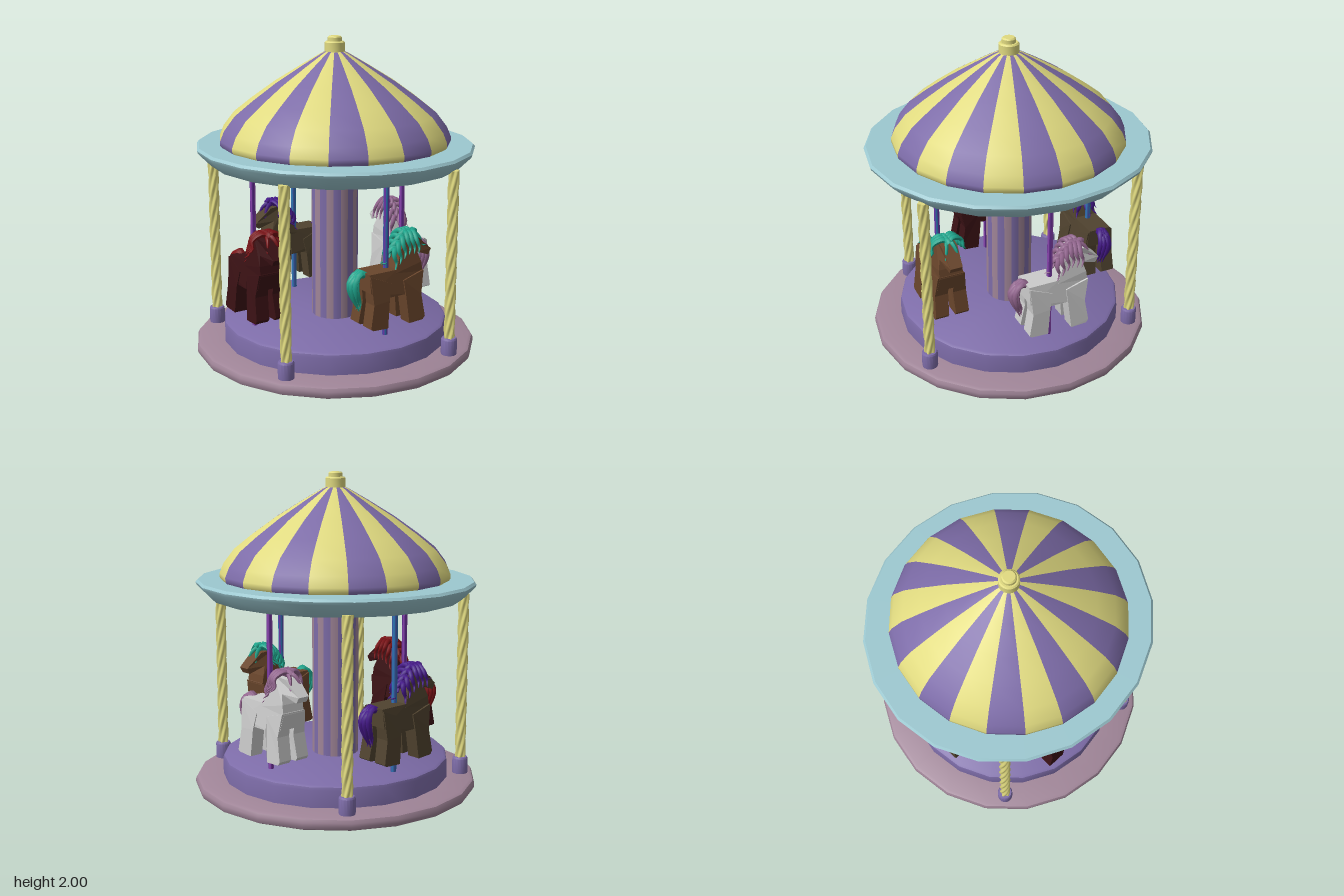
import * as THREE from 'three';
import { mergeGeometries, toCreasedNormals } from 'three/addons/utils/BufferGeometryUtils.js';

const SIDES = 20;
const PURPLE = 0x7d6ca8, YELLOW = 0xe0da80, TEAL = 0x9cc8d0, MAUVE = 0xa08598;

const mat = (color, flatShading = false) => new THREE.MeshStandardMaterial({ color, flatShading });
const points = (list) => list.map(([x, y]) => new THREE.Vector2(x, y));

function add(parent, name, geometry, material) {
  const mesh = new THREE.Mesh(geometry, material);
  mesh.name = name;
  parent.add(mesh);
  return mesh;
}

// Solid of revolution with sharp rims
const turned = (profile, sides = SIDES) =>
  toCreasedNormals(new THREE.LatheGeometry(points(profile), sides), 0.6);

// Solid of revolution whose segments alternate between two colours
function striped(parent, name, profile, sides, colors) {
  const step = (Math.PI * 2) / sides;
  colors.forEach((color, c) => {
    const wedges = [];
    for (let k = c; k < sides; k += 2) {
      wedges.push(new THREE.LatheGeometry(points(profile), 1, k * step, step));
    }
    add(parent, `${name}Stripes${c + 1}`, mergeGeometries(wedges), mat(color));
  });
}

// Flat side profile given thickness, with a width rule per point
function slab(profile, depth, rule) {
  const g = new THREE.ExtrudeGeometry(new THREE.Shape(points(profile)), { depth, bevelEnabled: false });
  g.translate(0, 0, -depth / 2);
  const p = g.attributes.position;
  for (let i = 0; i < p.count; i++) p.setZ(i, rule(p.getX(i), p.getY(i), p.getZ(i)));
  g.computeVertexNormals();
  return g;
}

// Lock of hair: a tube that thins towards its end
function lock(path, radius) {
  const curve = new THREE.CatmullRomCurve3(path.map((v) => new THREE.Vector3(...v)));
  const rows = 12, around = 6;
  const g = new THREE.TubeGeometry(curve, rows, radius, around);
  const p = g.attributes.position, v = new THREE.Vector3();
  for (let i = 0; i < p.count; i++) {
    const t = Math.floor(i / (around + 1)) / rows;
    const centre = curve.getPointAt(t);
    v.fromBufferAttribute(p, i).sub(centre).multiplyScalar(1 - 0.9 * t * t).add(centre);
    p.setXYZ(i, v.x, v.y, v.z);
  }
  g.computeVertexNormals();
  return g;
}

// Horse facing +x with its pole at the origin
function createHorse(coat, hair) {
  const horse = new THREE.Group();
  const coatMat = mat(coat, true), hairMat = mat(hair);

  add(horse, 'torso', slab(
    [[-0.165, 0.69], [-0.165, 0.58], [-0.05, 0.535], [0.08, 0.535], [0.2, 0.56], [0.215, 0.66], [0.18, 0.71], [0.03, 0.69]],
    0.18, (x, y, z) => z * (y > 0.65 ? 0.8 : 1)), coatMat);

  add(horse, 'neckAndHead', slab(
    [[0.02, 0.67], [0.215, 0.65], [0.205, 0.71], [0.185, 0.77], [0.285, 0.73], [0.305, 0.765], [0.2, 0.855], [0.1, 0.865], [0.065, 0.79]],
    0.15, (x, y, z) => z * (x > 0.25 ? 0.5 : y > 0.8 ? 0.65 : y > 0.72 ? 0.8 : 1)), coatMat);

  const hind = [[-0.165, 0.68], [-0.15, 0.51], [-0.175, 0.37], [-0.16, 0.36], [-0.055, 0.355], [-0.04, 0.52], [-0.02, 0.62]];
  const fore = [[0.07, 0.62], [0.08, 0.52], [0.1, 0.355], [0.2, 0.36], [0.215, 0.38], [0.19, 0.52], [0.215, 0.66]];
  for (const s of [1, -1]) {
    const splay = (x, y, z) => z * (y > 0.6 ? 0.8 : 1) + s * (0.05 + 0.06 * (0.69 - y) * 0.8);
    add(horse, 'hindLeg', slab(hind, 0.085, splay), coatMat);
    add(horse, 'foreLeg', slab(fore, 0.085, splay), coatMat);
    add(horse, 'ear', new THREE.ConeGeometry(0.018, 0.05, 4).translate(0.12, 0.865, s * 0.035), coatMat);
  }

  // Mane locks fall from the crest to both sides, wavy at the tips
  const mane = [], tail = [];
  for (let i = 0; i < 6; i++) {
    const t = i / 5, x = 0.05 + 0.13 * t, y = 0.79 + 0.09 * Math.min(1, t * 1.8);
    for (const s of [1, -1]) {
      const out = 0.06 + 0.05 * t;
      mane.push(lock([[x, y - 0.01, 0], [x - 0.01, y + 0.012, s * 0.03], [x - 0.025, y - 0.025, s * out * 0.85],
        [x - 0.01, y - 0.07, s * out * 0.9], [x - 0.035, y - 0.1, s * (out + 0.015)]], 0.017));
    }
    mane.push(lock([[x + 0.03, y, 0], [x, y + 0.015, 0.01], [x - 0.04, y - 0.03, -0.01],
      [x - 0.055, y - 0.07, 0.01], [x - 0.085, y - 0.075, 0]], 0.017));
  }
  for (const s of [1, -1]) {
    mane.push(lock([[0.14, 0.87, 0], [0.19, 0.875, s * 0.015], [0.225, 0.84, s * 0.03], [0.235, 0.8, s * 0.04], [0.255, 0.8, s * 0.05]], 0.015));
  }
  add(horse, 'mane', mergeGeometries(mane), hairMat);

  for (let i = 0; i < 7; i++) {
    const a = (i / 7) * Math.PI * 2, dx = 0.018 * Math.cos(a), dz = 0.022 * Math.sin(a);
    tail.push(lock([[-0.145, 0.67, dz * 0.4], [-0.195, 0.685 + dx * 0.5, dz * 0.8], [-0.232 + dx, 0.63, dz * 1.3],
      [-0.222 + dx, 0.56, dz * 1.5], [-0.2 + dx, 0.51, dz], [-0.195, 0.46 + 0.012 * (i % 3), dz * 1.2]], 0.02));
  }
  add(horse, 'tail', mergeGeometries(tail), hairMat);
  return horse;
}

// Rope-like post: a cylinder with spiralling grooves
function ropeGeometry(y0, y1) {
  const g = new THREE.CylinderGeometry(1, 1, y1 - y0, 30, 60);
  g.translate(0, (y0 + y1) / 2, 0);
  const p = g.attributes.position;
  for (let i = 0; i < p.count; i++) {
    const x = p.getX(i), z = p.getZ(i), y = p.getY(i);
    const r = 0.029 + 0.005 * Math.cos(5 * (Math.atan2(x, z) - y * 9));
    p.setXYZ(i, x * r, y, z * r);
  }
  g.computeVertexNormals();
  return g;
}

export function createModel() {
  const model = new THREE.Group();
  model.name = 'carousel';

  // Base drum and surrounding step
  add(model, 'baseDrum', turned([[0, 0.005], [0.68, 0.005], [0.695, 0.015], [0.7, 0.035], [0.7, 0.245], [0.695, 0.262], [0.68, 0.272], [0, 0.272]]), mat(PURPLE));
  add(model, 'step', turned([[0.6, 0.066], [0.845, 0.066], [0.863, 0.075], [0.872, 0.094], [0.872, 0.115], [0.863, 0.133], [0.845, 0.142], [0.6, 0.142]]), mat(MAUVE));

  // Central column
  striped(model, 'column', [[0.143, 0.26], [0.143, 1.27]], SIDES, [PURPLE, MAUVE]);

  // Canopy rim, slightly narrower across x
  add(model, 'canopyRim', turned([[0, 1.247], [0.76, 1.247], [0.785, 1.255], [0.862, 1.33], [0.868, 1.347], [0.855, 1.362], [0, 1.362]]), mat(TEAL)).scale.x = 0.96;

  // Striped roof and finial
  striped(model, 'roof', [[0.685, 1.355], [0.7, 1.375], [0.7, 1.4], [0.675, 1.46], [0.61, 1.545], [0.5, 1.632], [0.36, 1.732], [0.2, 1.83], [0.08, 1.9], [0, 1.935]],
    SIDES, [PURPLE, YELLOW]);
  add(model, 'finial', turned([[0, 1.905], [0.06, 1.905], [0.06, 1.962], [0.052, 1.97], [0.042, 1.97], [0.042, 1.992], [0.034, 2], [0, 2]]), mat(YELLOW));

  // Rope posts in their sockets
  const rope = ropeGeometry(0.058, 1.27);
  const socket = turned([[0, 0.13], [0.046, 0.13], [0.048, 0.15], [0.048, 0.235], [0.042, 0.245], [0, 0.245]], 16);
  for (const degrees of [28, 143, 224.5, 306]) {
    const a = THREE.MathUtils.degToRad(degrees);
    const post = new THREE.Group();
    post.name = 'post';
    post.position.set(0.78 * Math.sin(a), 0, 0.78 * Math.cos(a));
    add(post, 'rope', rope, mat(YELLOW));
    add(post, 'socket', socket, mat(PURPLE));
    model.add(post);
  }

  // Horses on their poles, each a quarter turn further round
  const riders = [
    { at: [0.035, 0.49], coat: 0x6a462c, hair: 0x1fa88f, pole: [0x6a35a8, 0x2f6fb0] },
    { at: [0.53, -0.02], coat: 0xcccccc, hair: 0x93668f, pole: [0x8a45b0, 0x6a2f96] },
    { at: [0.03, -0.545], coat: 0x50432f, hair: 0x45188a, pole: [0x2f78b8, 0x3d5aa8] },
    { at: [-0.535, -0.07], coat: 0x3a1114, hair: 0x7a1216, pole: [0x8a45b0, 0x5f2a90] },
  ];
  riders.forEach(({ at, coat, hair, pole }, i) => {
    const ride = new THREE.Group();
    ride.name = `ride${i + 1}`;
    const horse = createHorse(coat, hair);
    horse.name = 'horse';
    ride.add(horse);
    striped(ride, 'pole', [[0.017, 0.265], [0.017, 1.26]], 8, pole);
    ride.position.set(at[0], 0, at[1]);
    ride.rotation.y = (i * Math.PI) / 2;
    model.add(ride);
  });

  return model;
}
